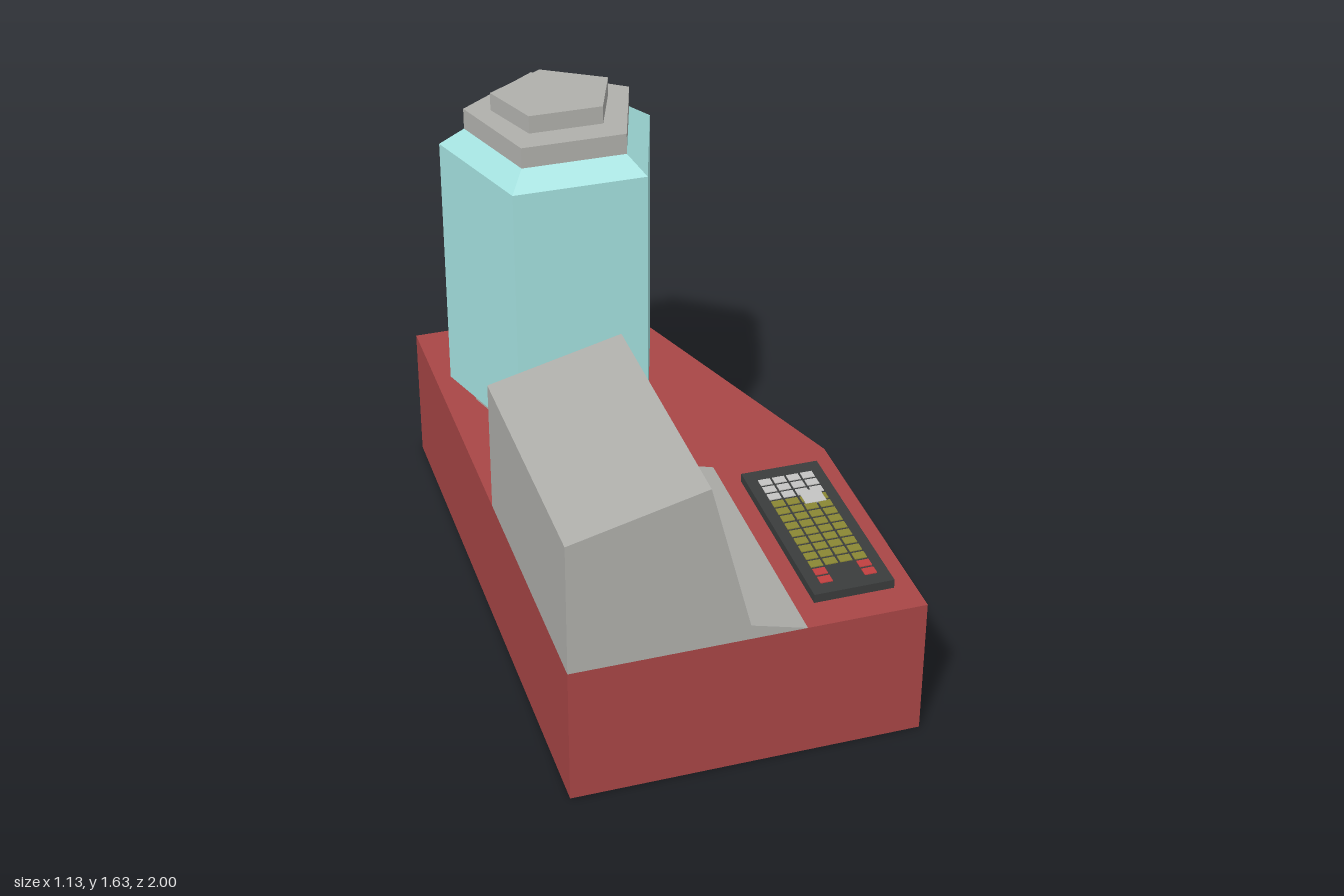
import * as THREE from 'three';

const mat = (name, color, side = THREE.FrontSide) => {
  const m = new THREE.MeshStandardMaterial({ color, side, flatShading: true });
  m.name = name;
  return m;
};

export function createModel() {
  const root = new THREE.Group();
  root.name = 'consoleAndTank';
  const red = mat('red', 0xa84646);
  const grey = mat('grey', 0xafafab, THREE.DoubleSide);
  const teal = mat('teal', 0xa3e0de);
  const black = mat('black', 0x0c0c0c, THREE.DoubleSide);
  const dark = mat('darkGrey', 0x3a3c3c);
  const olive = mat('olive', 0x8a8734);
  const pale = mat('paleGrey', 0xc4c4c2);
  const keyRed = mat('keyRed', 0xc04040);

  const add = (parent, name, geo, material, x = 0, y = 0, z = 0) => {
    const mesh = new THREE.Mesh(geo, material);
    mesh.name = name;
    mesh.position.set(x, y, z);
    parent.add(mesh);
    return mesh;
  };
  const group = (name) => {
    const g = new THREE.Group();
    g.name = name;
    root.add(g);
    return g;
  };
  const poly = (pts) => new THREE.Shape(pts.map(([x, y]) => new THREE.Vector2(x, y)));

  // Plinth with one slanted corner, drawn in plan as (x, -z)
  const plan = poly([[-0.565, -1], [0.565, -1], [0.565, -0.11], [0.18, 1], [-0.565, 1]]);
  const plinth = new THREE.ExtrudeGeometry(plan, { depth: 0.475, bevelEnabled: false });
  add(root, 'plinth', plinth.rotateX(-Math.PI / 2), red);

  // Hollow console housing: end walls plus a panel along every profile edge
  const housing = group('console');
  const profile = [[0.18, 0.475], [0, 0.525], [-0.13, 1.04], [-0.565, 0.93], [-0.565, 0.475]];
  const z0 = 0.105, z1 = 1;
  for (const z of [z0, z1]) {
    add(housing, 'endWall', new THREE.ShapeGeometry(poly(profile)), grey, 0, 0, z);
  }
  const rect = (za, zb, va, vb) => [[-zb, va], [-za, va], [-za, vb], [-zb, vb]];
  // Lays a shape on the profile edge a-b, local x being -z and local y running along the edge
  const layOnEdge = (name, a, b, shape, material, shift = 0) => {
    const up = new THREE.Vector3(b[0] - a[0], b[1] - a[1], 0).normalize();
    const right = new THREE.Vector3(0, 0, -1);
    const geo = new THREE.ShapeGeometry(shape);
    geo.applyMatrix4(new THREE.Matrix4().makeBasis(right, up, right.clone().cross(up)));
    add(housing, name, geo, material, a[0] + shift, a[1], 0);
  };
  const slope = 0.515 / Math.hypot(0.515, 0.13);
  const onScreen = (y) => (y - 0.525) / slope;
  const opening = rect(0.17, 0.94, onScreen(0.595), onScreen(0.975));
  const panelNames = ['frontLedge', 'screenFrame', 'roof', 'backWall'];
  panelNames.forEach((name, i) => {
    const a = profile[i], b = profile[i + 1];
    const shape = poly(rect(z0, z1, 0, Math.hypot(b[0] - a[0], b[1] - a[1])));
    if (name === 'screenFrame') shape.holes.push(poly(opening));
    layOnEdge(name, a, b, shape, grey);
  });

  // Screen set back behind the opening, with a light band
  const [, low, high] = profile;
  layOnEdge('screen', low, high, poly(opening), black, -0.036);
  const band = poly(rect(0.215, 0.89, onScreen(0.72), onScreen(0.835)));
  layOnEdge('screenBand', low, high, band, grey, -0.031);

  // Keyboard with rows of small flat keys
  const keyboard = group('keyboard');
  add(keyboard, 'keyboardBody', new THREE.BoxGeometry(0.26, 0.03, 0.68), dark, 0.37, 0.49, 0.55);
  const keyGeo = new THREE.BoxGeometry(0.04, 0.004, 0.032);
  for (let row = 0; row < 14; row++) {
    for (let col = 0; col < 4; col++) {
      if (row > 11 && col % 3 !== 0) continue;
      const material = row < 3 ? pale : row < 12 ? olive : keyRed;
      add(keyboard, 'key', keyGeo, material, 0.298 + col * 0.048, 0.506, 0.28 + row * 0.042);
    }
  }
  add(keyboard, 'largeKey', new THREE.BoxGeometry(0.07, 0.005, 0.07), pale, 0.415, 0.507, 0.4);

  // Five-sided tank, stacked from tapered sections
  const tank = group('tank');
  tank.position.set(-0.187, 0, -0.44);
  const section = (name, y0, y1, r0, r1, material, depth = 1) => {
    const geo = new THREE.CylinderGeometry(r1, r0, y1 - y0, 5).rotateY(Math.PI);
    add(tank, name, geo.scale(1, 1, depth), material, 0, (y0 + y1) / 2, 0);
  };
  section('tankFoot', 0.475, 0.52, 0.29, 0.29, grey);
  section('tankLowerTaper', 0.52, 0.565, 0.29, 0.372, teal);
  section('tankBody', 0.565, 1.445, 0.372, 0.372, teal);
  section('tankUpperTaper', 1.445, 1.5, 0.372, 0.29, teal);
  section('tankCollar', 1.5, 1.57, 0.29, 0.29, grey);
  section('tankCap', 1.57, 1.63, 0.205, 0.205, grey, 0.865);

  return root;
}
